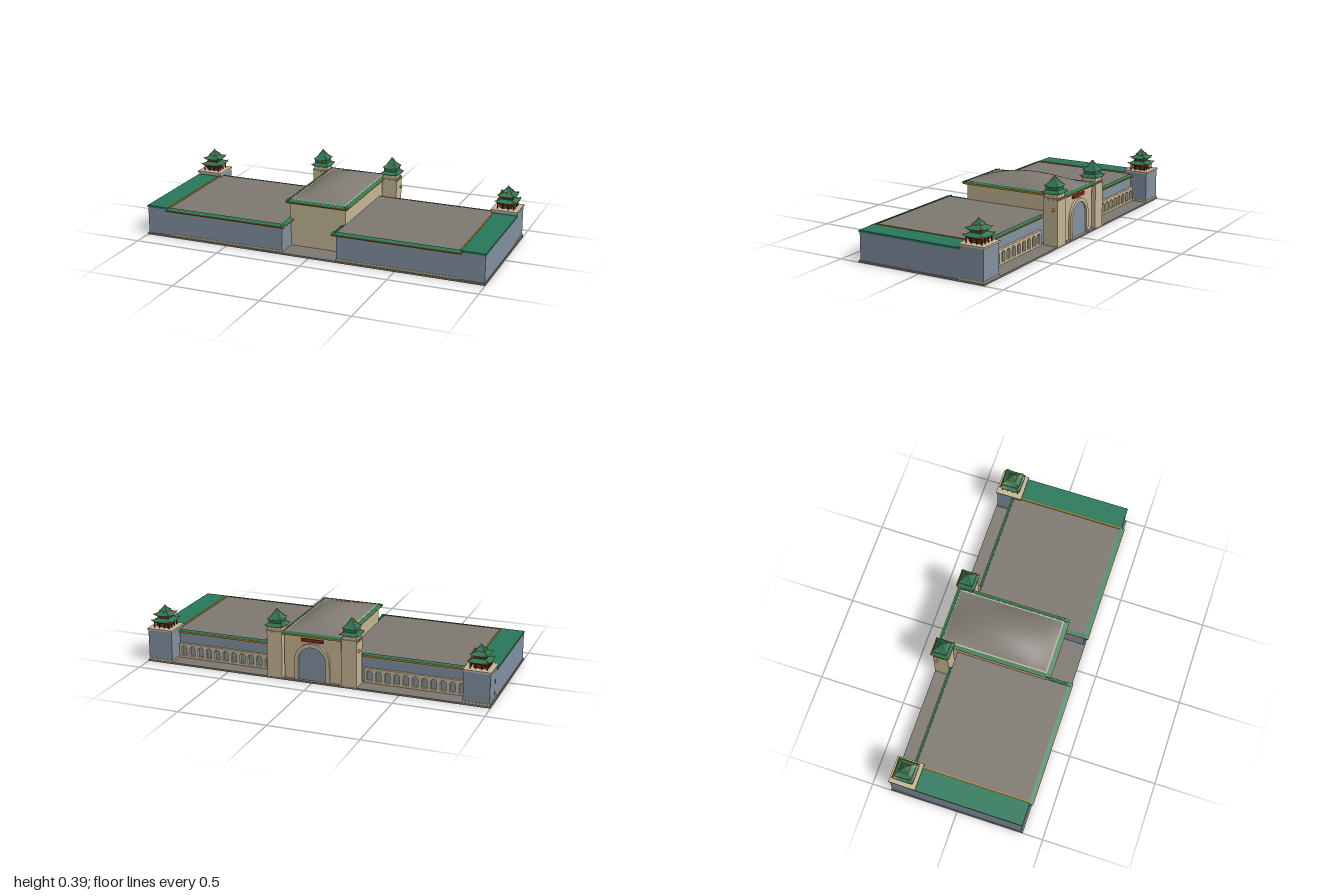
import * as THREE from 'three';

const mat = (name, color, side = THREE.FrontSide) => {
  const m = new THREE.MeshStandardMaterial({ color, side });
  m.name = name;
  return m;
};

export function createModel() {
  const blue = mat('blue wall', 0x8291a1);
  const cream = mat('cream stone', 0xc6b796);
  const grey = mat('grey roof', 0x7f7972);
  const green = mat('green tile', 0x28795a, THREE.DoubleSide);
  const gold = mat('gold trim', 0xc08a22);
  const red = mat('red lacquer', 0x8a2616);
  const brown = mat('brown timber', 0x5c3a22);

  const model = new THREE.Group();
  model.name = 'walledHall';

  const add = (parent, name, geo, material, x = 0, y = 0, z = 0) => {
    const m = new THREE.Mesh(geo, material);
    m.name = name;
    m.position.set(x, y, z);
    parent.add(m);
    return m;
  };
  // box given by its limits
  const box = (parent, name, material, x0, x1, y0, y1, z0, z1) =>
    add(parent, name, new THREE.BoxGeometry(x1 - x0, y1 - y0, z1 - z0), material,
      (x0 + x1) / 2, (y0 + y1) / 2, (z0 + z1) / 2);
  const group = (parent, name, x = 0, y = 0, z = 0) => {
    const g = new THREE.Group();
    g.name = name;
    g.position.set(x, y, z);
    parent.add(g);
    return g;
  };

  // sloping tiled eave centred at (x, y, z), pointing out along +z turned by angle
  const eave = (parent, x, y, z, length, out, angle) => {
    const g = group(parent, 'eave', x, y, z);
    g.rotation.y = angle;
    const s = new THREE.Shape([[0, 0.004], [out, 0.004], [out, 0.008], [0, 0.017]]
      .map(p => new THREE.Vector2(...p)));
    const geo = new THREE.ExtrudeGeometry(s, { depth: length, bevelEnabled: false });
    geo.rotateY(-Math.PI / 2).translate(length / 2, 0, 0);
    add(g, 'eaveTiles', geo, green);
    box(g, 'eaveTrim', gold, -length / 2, length / 2, -0.003, 0.004, 0, out * 0.8);
    box(g, 'eaveEdge', gold, -length / 2, length / 2, 0.003, 0.009, out - 0.002, out + 0.002);
  };

  // square concave roof with lifted corners, gold hips and gold edge
  const hipRoof = (parent, name, half, topHalf, y0, y1, lift) => {
    const g = group(parent, name);
    const point = (a, t) => {
      const h = THREE.MathUtils.lerp(half, topHalf, t);
      return new THREE.Vector3(a * h, y0 + (y1 - y0) * Math.pow(t, 1.3)
        + lift * (1 - t) ** 2 * a ** 4, h);
    };
    const line = f => new THREE.CatmullRomCurve3([0, 1, 2, 3, 4, 5, 6].map(i => f(i / 6)));
    for (let side = 0; side < 4; side++) {
      const s = group(g, 'roofSide');
      s.rotation.y = side * Math.PI / 2;
      const geo = new THREE.PlaneGeometry(1, 1, 8, 5);
      const p = geo.attributes.position;
      for (let i = 0; i < p.count; i++) {
        const v = point(p.getX(i) * 2, p.getY(i) + 0.5);
        p.setXYZ(i, v.x, v.y, v.z);
      }
      geo.computeVertexNormals();
      add(s, 'roofTiles', geo, green);
      add(s, 'hipRidge', new THREE.TubeGeometry(line(t => point(1, t)), 8, 0.0022, 5), gold);
      add(s, 'roofEdge', new THREE.TubeGeometry(line(t => point(t * 2 - 1, 0)), 8, 0.002, 5), gold);
    }
    box(g, 'roofSoffit', gold, -half * 0.85, half * 0.85, y0 - 0.003, y0, -half * 0.85, half * 0.85);
    return g;
  };

  // ground slab
  box(model, 'baseSlab', grey, -1, 1, 0, 0.01, -0.39, 0.385);

  // central hall with pillow-shaped roof
  const hall = group(model, 'hall');
  box(hall, 'hallWalls', cream, -0.165, 0.165, 0.01, 0.268, -0.37, 0.25);
  box(hall, 'roofParapet', cream, -0.163, 0.163, 0.268, 0.279, -0.368, 0.248);
  const dome = new THREE.PlaneGeometry(0.31, 0.605, 20, 28).rotateX(-Math.PI / 2);
  const dp = dome.attributes.position;
  for (let i = 0; i < dp.count; i++) {
    const u = dp.getX(i) / 0.155, v = dp.getZ(i) / 0.3025;
    dp.setY(i, 0.055 * (1 - u * u) * (1 - v * v));
  }
  dome.computeVertexNormals();
  add(hall, 'domedRoof', dome, grey, 0, 0.28, -0.0625);
  eave(hall, 0, 0.264, 0.248, 0.36, 0.027, 0);
  eave(hall, 0, 0.264, -0.368, 0.34, 0.02, Math.PI);
  for (const s of [-1, 1]) eave(hall, s * 0.163, 0.264, -0.05, 0.63, 0.02, s * Math.PI / 2);

  // arched gateway on the back of the hall
  const arch = (w, h) => {
    const s = new THREE.Shape();
    s.moveTo(-w, 0);
    s.lineTo(w, 0);
    s.lineTo(w, h - w);
    s.absarc(0, h - w, w, 0, Math.PI, false);
    s.lineTo(-w, 0);
    return s;
  };
  const gate = group(hall, 'gateway', 0, 0.01, -0.37);
  gate.rotation.y = Math.PI;
  const frame = arch(0.102, 0.215);
  frame.holes.push(arch(0.08, 0.193));
  add(gate, 'gateFrame', new THREE.ExtrudeGeometry(frame, { depth: 0.014, bevelEnabled: false, curveSegments: 16 }), cream);
  add(gate, 'gatePanel', new THREE.ExtrudeGeometry(arch(0.08, 0.193), { depth: 0.004, bevelEnabled: false, curveSegments: 16 }), blue);
  box(gate, 'gatePlaque', red, -0.065, 0.065, 0.222, 0.24, 0, 0.008);

  // everything that stands on both sides
  for (const s of [-1, 1]) {
    const mx = (parent, name, m, x0, x1, ...rest) =>
      s > 0 ? box(parent, name, m, x0, x1, ...rest) : box(parent, name, m, -x1, -x0, ...rest);

    // low wing
    const wing = group(model, s > 0 ? 'leftWing' : 'rightWing');
    mx(wing, 'wingWalls', blue, 0.16, 0.995, 0.01, 0.164, -0.28, 0.375);
    mx(wing, 'wingRoof', grey, 0.16, 0.86, 0.164, 0.172, -0.28, 0.375);
    mx(wing, 'sideTileRoof', green, 0.86, 0.997, 0.164, 0.175, -0.25, 0.38);
    mx(wing, 'roofRib', gold, 0.857, 0.864, 0.164, 0.179, -0.24, 0.375);
    mx(wing, 'frontPlinth', cream, 0.16, 0.85, 0.01, 0.02, 0.37, 0.378);
    eave(wing, s * 0.505, 0.159, 0.373, 0.73, 0.025, 0);
    eave(wing, s * 0.56, 0.159, -0.278, 0.6, 0.015, Math.PI);
    eave(wing, s * 0.162, 0.159, 0.323, 0.13, 0.02, -s * Math.PI / 2);

    // blind arcade along the back wall
    const arcade = new THREE.Shape([[-0.29, 0], [0.29, 0], [0.29, 0.085], [-0.29, 0.085]]
      .map(p => new THREE.Vector2(...p)));
    for (let i = 0; i < 11; i++) {
      const x = (i - 5) * 0.052, hole = new THREE.Path();
      hole.moveTo(x - 0.016, 0.012);
      hole.lineTo(x + 0.016, 0.012);
      hole.lineTo(x + 0.016, 0.055);
      hole.absarc(x, 0.055, 0.016, 0, Math.PI, false);
      hole.lineTo(x - 0.016, 0.012);
      arcade.holes.push(hole);
    }
    add(wing, 'arcade', new THREE.ExtrudeGeometry(arcade, { depth: 0.015, bevelEnabled: false, curveSegments: 6 }),
      cream, s * 0.56, 0.01, -0.295);

    // gate tower
    const tower = group(model, 'gateTower', s * 0.217, 0, -0.345);
    box(tower, 'towerShaft', cream, -0.044, 0.044, 0.01, 0.274, -0.044, 0.044);
    box(tower, 'towerNeck', cream, -0.04, 0.04, 0.274, 0.302, -0.04, 0.04);
    for (let i = 0; i < 4; i++) {
      const face = group(tower, 'corbels');
      face.rotation.y = i * Math.PI / 2;
      for (let k = -2; k <= 2; k++)
        box(face, 'corbel', cream, k * 0.017 - 0.004, k * 0.017 + 0.004, 0.266, 0.278, 0.038, 0.048);
    }
    hipRoof(tower, 'lowerRoof', 0.053, 0.036, 0.302, 0.318, 0.006);
    box(tower, 'upperStorey', green, -0.036, 0.036, 0.304, 0.337, -0.036, 0.036);
    hipRoof(tower, 'spireRoof', 0.041, 0.001, 0.337, 0.393, 0.005);
    add(tower, 'lantern', new THREE.SphereGeometry(0.008, 10, 8), gold, s * 0.05, 0.215, -0.02);

    // corner bastion with pavilion
    const bastion = group(model, 'cornerBastion', s * 0.922, 0, -0.312);
    box(bastion, 'bastionPlinth', cream, -0.075, 0.075, 0.01, 0.02, -0.075, 0.076);
    box(bastion, 'bastionWalls', blue, -0.072, 0.073, 0.01, 0.187, -0.072, 0.072);
    box(bastion, 'bastionCap', cream, -0.077, 0.077, 0.187, 0.197, -0.077, 0.077);
    box(bastion, 'pavilionCore', brown, -0.032, 0.032, 0.197, 0.236, -0.032, 0.032);
    for (let i = 0; i < 4; i++) {
      const face = group(bastion, 'columns');
      face.rotation.y = i * Math.PI / 2;
      for (const x of [-0.046, -0.016, 0.016])
        add(face, 'column', new THREE.CylinderGeometry(0.0035, 0.0035, 0.036, 8), red, x, 0.215, 0.046);
      box(face, 'beam', red, -0.048, 0.048, 0.223, 0.232, 0.043, 0.048);
    }
    hipRoof(bastion, 'lowerRoof', 0.06, 0.034, 0.233, 0.25, 0.01);
    box(bastion, 'upperRoom', brown, -0.033, 0.033, 0.245, 0.269, -0.033, 0.033);
    box(bastion, 'upperBeam', red, -0.035, 0.035, 0.261, 0.268, -0.035, 0.035);
    hipRoof(bastion, 'upperRoof', 0.05, 0.022, 0.268, 0.288, 0.009);
    hipRoof(bastion, 'topRoof', 0.025, 0.002, 0.289, 0.318, 0.004);
    add(bastion, 'finial', new THREE.ConeGeometry(0.005, 0.014, 8), gold, 0, 0.322, 0);
  }
  return model;
}
